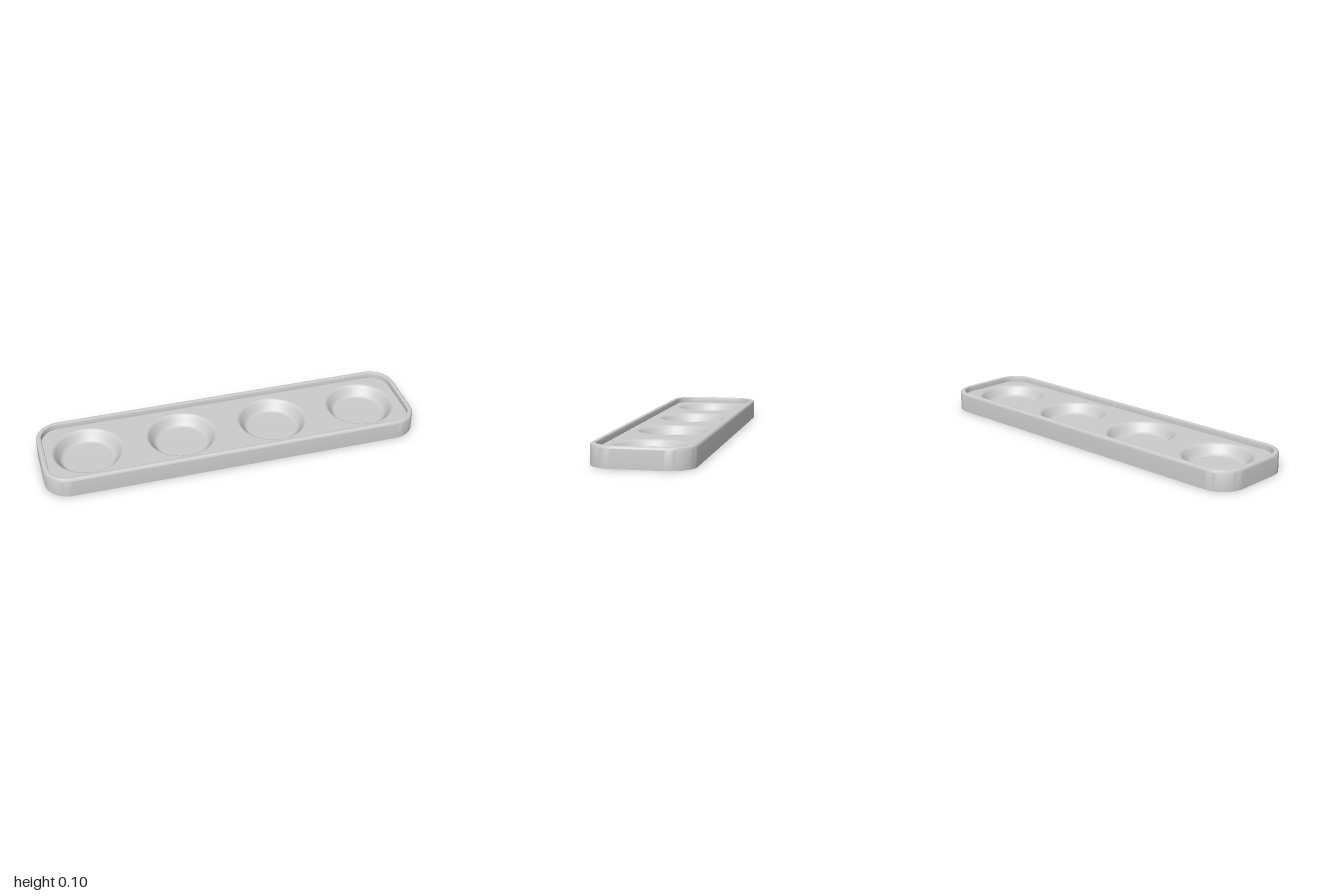
import * as THREE from 'three';
import { toCreasedNormals } from 'three/addons/utils/BufferGeometryUtils.js';

const HALF_X = 1, HALF_Z = 0.25, CORNER = 0.13;
const FLOOR_Y = 0.075, CUP_R = 0.185, CUP_Y = 0.02, WALL = 0.028;

// Rounded rectangle, inset from the outer edge, as a loop of points
function outline(inset) {
  const r = CORNER - inset, n = 12, pts = [];
  const corners = [[1, 1], [-1, 1], [-1, -1], [1, -1]];
  corners.forEach(([sx, sz], q) => {
    for (let i = 0; i <= n; i++) {
      const a = (q + i / n) * Math.PI / 2;
      pts.push(new THREE.Vector2(
        sx * (HALF_X - CORNER) + r * Math.cos(a),
        sz * (HALF_Z - CORNER) + r * Math.sin(a)));
    }
  });
  return pts;
}

// Skin a profile of [inset, y] around the outline
function loft(profile) {
  const pos = [], idx = [];
  let n = 0;
  profile.forEach(([inset, y]) => {
    const ring = outline(inset);
    n = ring.length;
    ring.forEach(p => pos.push(p.x, y, p.y));
  });
  for (let j = 0; j < profile.length - 1; j++) {
    for (let i = 0; i < n; i++) {
      const a = j * n + i, b = j * n + (i + 1) % n;
      idx.push(a, a + n, b, b, a + n, b + n);
    }
  }
  const g = new THREE.BufferGeometry();
  g.setAttribute('position', new THREE.Float32BufferAttribute(pos, 3));
  g.setIndex(idx);
  return toCreasedNormals(g, 0.7);
}

export function createModel() {
  const group = new THREE.Group();
  group.name = 'tray';
  const material = new THREE.MeshStandardMaterial({ color: 0xcccccc, side: THREE.DoubleSide });
  const add = (name, geometry, x = 0, y = 0) => {
    const mesh = new THREE.Mesh(geometry, material);
    mesh.name = name;
    mesh.position.set(x, y, 0);
    group.add(mesh);
  };

  // Outer wall, rounded rim and inner wall in one skin
  const profile = [[0, 0]];
  for (let i = 0; i <= 5; i++) {
    const a = i / 5 * Math.PI / 2;
    profile.push([0.014 * (1 - Math.cos(a)), 0.091 + 0.014 * Math.sin(a)]);
  }
  profile.push([0.021, 0.105], [0.026, 0.103], [WALL, 0.098], [WALL, FLOOR_Y]);
  add('wallAndRim', loft(profile));

  // Floor with a round opening for each cup
  const centers = [-0.75, -0.25, 0.25, 0.75];
  const shape = new THREE.Shape(outline(WALL));
  for (const x of centers) {
    shape.holes.push(new THREE.Path().absarc(x, 0, CUP_R, 0, Math.PI * 2, true));
  }
  add('floor', new THREE.ShapeGeometry(shape, 32).rotateX(-Math.PI / 2), 0, FLOOR_Y);

  // Sloped cups with a soft lip and a filleted base
  const cup = [
    [0, CUP_Y], [0.125, CUP_Y], [0.134, 0.0215], [0.142, 0.026], [0.149, 0.033],
    [0.168, 0.06], [0.173, 0.067], [0.178, 0.072], [CUP_R, FLOOR_Y],
  ].map(([r, y]) => new THREE.Vector2(r, y));
  const cupGeometry = new THREE.LatheGeometry(cup, 64);
  centers.forEach((x, i) => add('cup' + (i + 1), cupGeometry, x));

  return group;
}
